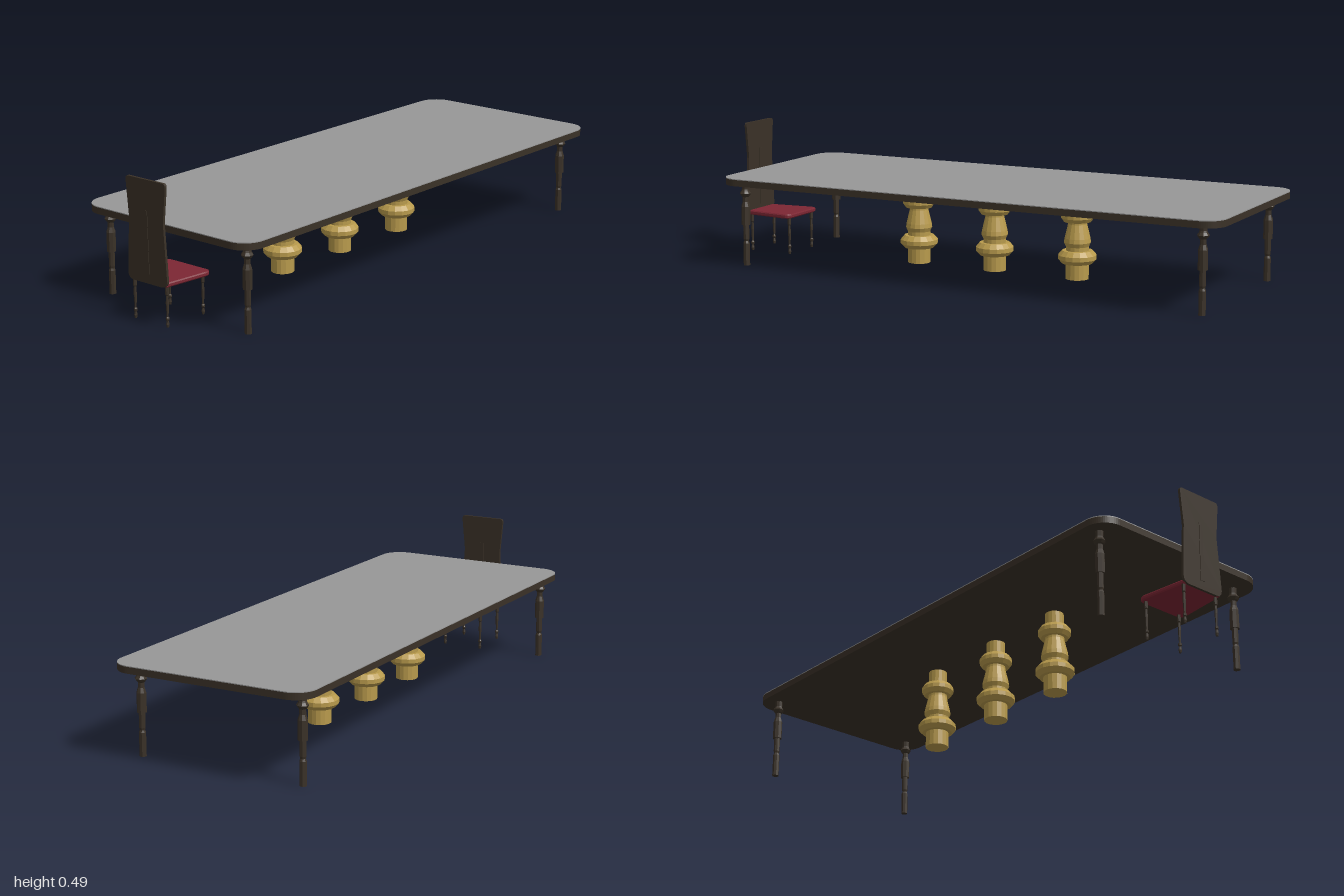
import * as THREE from 'three';

const mat = (name, color, extra = {}) => {
  const m = new THREE.MeshStandardMaterial({ color, ...extra });
  m.name = name;
  return m;
};

// Turned part from [radius, height] pairs, faceted
function turned(name, profile, sides, material) {
  const pts = profile.map(([r, y]) => new THREE.Vector2(r, y));
  const geo = new THREE.LatheGeometry(pts, sides, Math.PI / sides).toNonIndexed();
  geo.computeVertexNormals();
  const mesh = new THREE.Mesh(geo, material);
  mesh.name = name;
  return mesh;
}

// Rounded rectangle centred on the origin
function roundedRect(w, d, r) {
  const x = w / 2, y = d / 2, s = new THREE.Shape();
  s.moveTo(-x + r, -y);
  s.lineTo(x - r, -y);
  s.absarc(x - r, -y + r, r, -Math.PI / 2, 0);
  s.lineTo(x, y - r);
  s.absarc(x - r, y - r, r, 0, Math.PI / 2);
  s.lineTo(-x + r, y);
  s.absarc(-x + r, y - r, r, Math.PI / 2, Math.PI);
  s.lineTo(-x, -y + r);
  s.absarc(-x + r, -y + r, r, Math.PI, Math.PI * 1.5);
  return s;
}

// Horizontal slab whose underside is at height y
function slab(name, shape, y, height, material) {
  const geo = new THREE.ExtrudeGeometry(shape, { depth: height, bevelEnabled: false, curveSegments: 8 });
  geo.rotateX(-Math.PI / 2);
  const mesh = new THREE.Mesh(geo, material);
  mesh.name = name;
  mesh.position.y = y;
  return mesh;
}

export function createModel() {
  const model = new THREE.Group();
  model.name = 'diningTable';
  const wood = mat('darkWood', 0x3a3127);
  const grey = mat('greyTop', 0x979797);
  const brass = mat('brass', 0xb89a4c);
  const red = mat('redUpholstery', 0x7c2633);

  // Table top with a grey sheet on it
  const board = slab('tableTop', roundedRect(0.738, 1.927, 0.075), 0.3, 0.023, wood);
  const sheet = slab('tableSurface', roundedRect(0.738, 1.927, 0.075), 0.323, 0.003, grey);
  for (const m of [board, sheet]) {
    m.position.x = -0.001;
    m.position.z = -0.0365;
    model.add(m);
  }

  // Table legs
  const legProfile = [
    [0, 0], [0.012, 0], [0.012, 0.082], [0.009, 0.09], [0.011, 0.098], [0.011, 0.15],
    [0.0165, 0.15], [0.0165, 0.217], [0.011, 0.235], [0.011, 0.252], [0.015, 0.256],
    [0.021, 0.265], [0.015, 0.274], [0.013, 0.28], [0.014, 0.3],
  ];
  for (const [x, z] of [[-0.315, 0.853], [0.301, 0.853], [-0.315, -0.92], [0.296, -0.92]]) {
    const leg = turned('tableLeg', legProfile, 8, wood);
    leg.position.set(x, 0, z);
    model.add(leg);
  }

  // Brass pedestals
  const pedestalProfile = [
    [0, 0.004], [0.041, 0.004], [0.041, 0.06], [0.054, 0.06], [0.068, 0.075], [0.068, 0.09],
    [0.054, 0.106], [0.041, 0.106], [0.041, 0.12], [0.048, 0.135], [0.046, 0.15],
    [0.034, 0.2], [0.034, 0.208], [0.048, 0.208], [0.058, 0.222], [0.058, 0.236],
    [0.048, 0.25], [0.033, 0.254], [0.033, 0.3],
  ];
  for (const z of [0.316, 0.005, -0.322]) {
    const pedestal = turned('pedestal', pedestalProfile, 16, brass);
    pedestal.position.set(-0.024, 0, z);
    model.add(pedestal);
  }

  const chair = new THREE.Group();
  chair.name = 'chair';
  model.add(chair);

  // Chair back: waisted panel with rounded corners
  const back = new THREE.Shape();
  back.moveTo(-0.065, 0.141);
  back.lineTo(0.065, 0.141);
  back.quadraticCurveTo(0.086, 0.143, 0.0875, 0.165);
  back.lineTo(0.075, 0.355);
  back.lineTo(0.0875, 0.475);
  back.quadraticCurveTo(0.0875, 0.488, 0.077, 0.488);
  back.lineTo(-0.077, 0.488);
  back.quadraticCurveTo(-0.0875, 0.488, -0.0875, 0.475);
  back.lineTo(-0.0765, 0.355);
  back.lineTo(-0.0875, 0.165);
  back.quadraticCurveTo(-0.086, 0.143, -0.065, 0.141);
  const backMesh = new THREE.Mesh(
    new THREE.ExtrudeGeometry(back, { depth: 0.009, bevelEnabled: false, curveSegments: 5 }), wood);
  backMesh.name = 'chairBack';
  backMesh.position.z = 0.989;
  chair.add(backMesh);

  // Slim centre rib on both faces of the back
  const rib = new THREE.Shape([[-0.01, 0.172], [0.01, 0.172], [0.006, 0.385], [-0.006, 0.385]]
    .map(([x, y]) => new THREE.Vector2(x, y)));
  const ribMesh = new THREE.Mesh(new THREE.ExtrudeGeometry(rib, { depth: 0.013, bevelEnabled: false }), wood);
  ribMesh.name = 'chairBackRib';
  ribMesh.position.z = 0.987;
  chair.add(ribMesh);

  // Seat: wider towards the table, with a softened upper edge
  const seat = new THREE.Shape();
  seat.moveTo(-0.077, -0.99);
  seat.lineTo(0.077, -0.99);
  seat.lineTo(0.094, -0.83);
  seat.quadraticCurveTo(0.096, -0.807, 0.08, -0.805);
  seat.lineTo(-0.08, -0.805);
  seat.quadraticCurveTo(-0.096, -0.807, -0.094, -0.83);
  seat.closePath();
  const seatGeo = new THREE.ExtrudeGeometry(seat, {
    depth: 0.008, bevelEnabled: true, bevelThickness: 0.004, bevelSize: 0.003, bevelSegments: 1, curveSegments: 4,
  });
  seatGeo.rotateX(-Math.PI / 2);
  const seatMesh = new THREE.Mesh(seatGeo, red);
  seatMesh.name = 'seat';
  seatMesh.position.y = 0.145;
  chair.add(seatMesh);

  // Chair legs
  const chairLegProfile = [
    [0, 0.004], [0.004, 0.004], [0.006, 0.014], [0.004, 0.026], [0.0065, 0.03], [0.0065, 0.036],
    [0.0035, 0.04], [0.0055, 0.085], [0.0045, 0.112], [0.0065, 0.116], [0.0065, 0.142],
  ];
  for (const [x, z] of [[-0.08, 0.818], [0.071, 0.818], [-0.074, 0.983], [0.071, 0.983]]) {
    const leg = turned('chairLeg', chairLegProfile, 8, wood);
    leg.position.set(x, 0, z);
    chair.add(leg);
  }
  return model;
}
